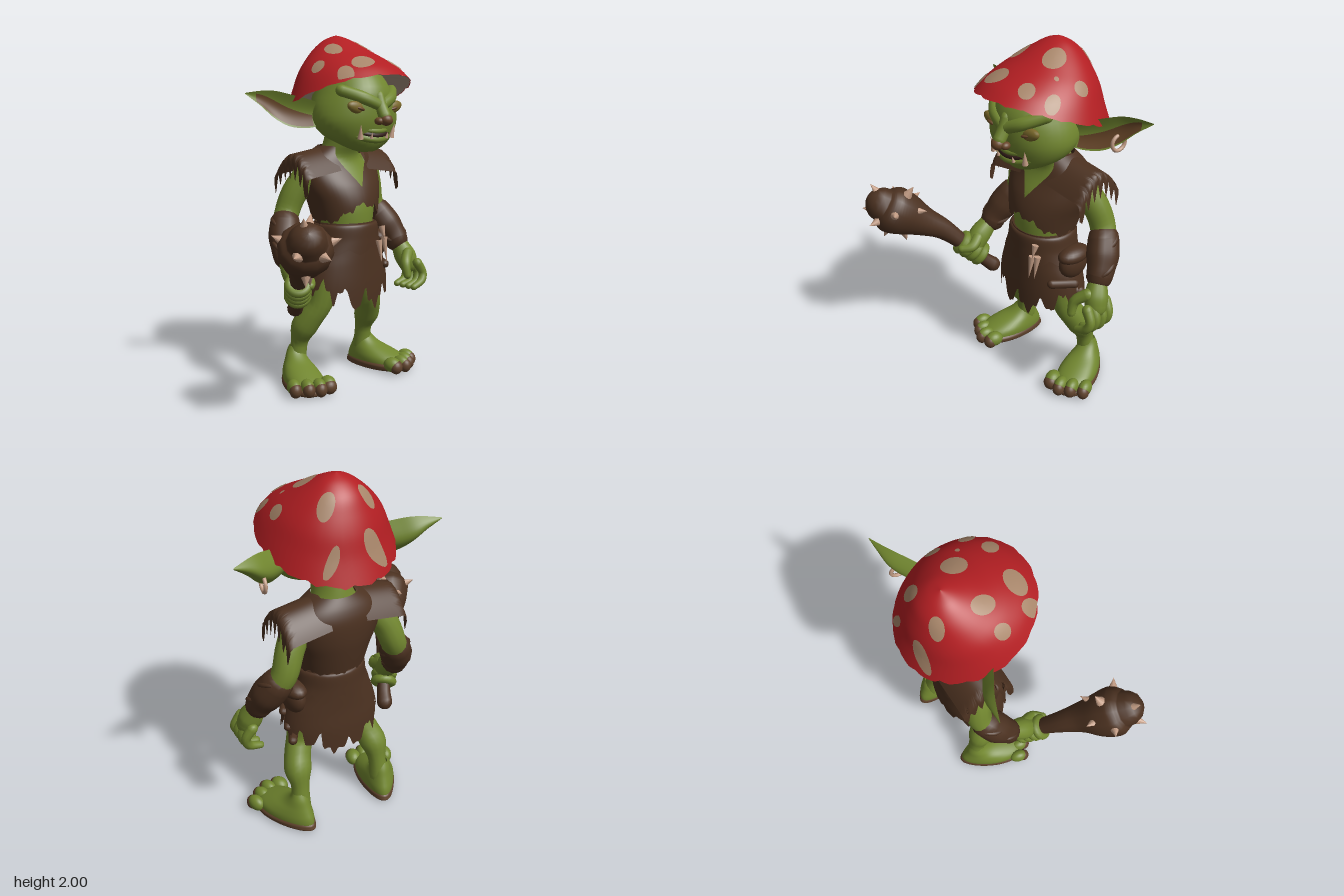
import * as THREE from 'three';

const CX = 0.14; // body centre line
const TAU = Math.PI * 2;
const mat = (name, color, double) => {
  const m = new THREE.MeshStandardMaterial({ color });
  m.name = name;
  if (double) m.side = THREE.DoubleSide;
  return m;
};
const { abs, min, max, sin, cos, floor, sqrt, PI } = Math;
const lerp = THREE.MathUtils.lerp;

// Smooth interpolation through rows of numbers, t from 0 to 1
const spline = rows => t => {
  const n = rows.length, s = t * (n - 1), i = min(floor(s), n - 2), f = s - i;
  const p = k => rows[max(0, min(n - 1, i + k))];
  return rows[0].map((_, c) => {
    const a = p(-1)[c], b = p(0)[c], d = p(1)[c], e = p(2)[c];
    return b + 0.5 * f * (d - a + f * (2 * a - 5 * b + 4 * d - e + f * (3 * (b - d) + e - a)));
  });
};

// Surface from f(u, v); closed wraps u around
function grid(nu, nv, f, closed = true) {
  const pos = [], idx = [], w = closed ? nu : nu + 1;
  for (let j = 0; j <= nv; j++) for (let i = 0; i < w; i++) pos.push(...f(i / nu, j / nv));
  for (let j = 0; j < nv; j++) for (let i = 0; i < nu; i++) {
    const a = j * w + i, b = j * w + (i + 1) % w, c = a + w, d = b + w;
    idx.push(a, c, b, b, c, d);
  }
  const g = new THREE.BufferGeometry();
  g.setAttribute('position', new THREE.Float32BufferAttribute(pos, 3));
  g.setIndex(idx);
  g.computeVertexNormals();
  return g;
}

// Elliptical rings: rows of [yFront, yBack, zFront, zBack, radiusX]
const ringPoint = (r, a, cx) => [cx + r[4] * cos(a), (r[0] + r[1]) / 2 + (r[0] - r[1]) / 2 * sin(a),
  (r[2] + r[3]) / 2 + (r[2] - r[3]) / 2 * sin(a)];
function loft(rows, { nu = 40, nv = 24, cx = CX, lo = () => 0, hi = () => 1 } = {}) {
  const at = spline(rows);
  return grid(nu, nv, (u, v) => ringPoint(at(lerp(lo(u * TAU), hi(u * TAU), v)), u * TAU, cx));
}
const level = rows => rows.map(([y, ...r]) => [y, y, ...r]);

// Round-ended tube through points [x, y, z, radius]
function limb(pts, sides = 14, steps = 18) {
  const at = spline(pts), cap = 4, n = steps + 2 * cap;
  const V = a => new THREE.Vector3(a[0], a[1], a[2]);
  const chord = V(pts[pts.length - 1]).sub(V(pts[0])).toArray().map(abs);
  const ref = new THREE.Vector3().setComponent(chord.indexOf(min(...chord)), 1);
  return grid(sides, n, (u, v) => {
    const k = v * n, t = max(0, min(1, (k - cap) / steps)), p = at(t);
    const T = V(at(min(1, t + 0.01))).sub(V(at(max(0, t - 0.01)))).normalize();
    const N = ref.clone().addScaledVector(T, -ref.dot(T)).normalize(), B = N.clone().cross(T);
    const e = k < cap ? k / cap - 1 : k > n - cap ? (k - n + cap) / cap : 0;
    const r = p[3] * cos(e * PI / 2), a = u * TAU;
    return V(p).addScaledVector(T, p[3] * sin(e * PI / 2))
      .addScaledVector(N, r * cos(a)).addScaledVector(B, r * sin(a)).toArray();
  });
}
const ball = (x, y, z, rx, ry, rz, tilt = 0) =>
  new THREE.SphereGeometry(1, 20, 14).scale(rx, ry, rz).rotateZ(tilt).translate(x, y, z);
function cone(from, to, r) {
  const a = new THREE.Vector3(...from), d = new THREE.Vector3(...to).sub(a), h = d.length();
  return new THREE.ConeGeometry(r, h, 10).translate(0, h / 2, 0)
    .applyQuaternion(new THREE.Quaternion().setFromUnitVectors(new THREE.Vector3(0, 1, 0), d.normalize()))
    .translate(...a.toArray());
}
function mirror(geo) {
  const g = geo.clone().scale(-1, 1, 1).translate(2 * CX, 0, 0), ix = g.index.array;
  for (let i = 0; i < ix.length; i += 3) [ix[i], ix[i + 1]] = [ix[i + 1], ix[i]];
  return g;
}
// Torn cloth edge: teeth of seeded height around an angle
const torn = (a, n, seed) => {
  const k = floor(a / TAU * n), f = a / TAU * n - k, h = sin(k * 12.99 + seed) * 43758.5;
  return abs(2 * f - 1) * (0.4 + 0.6 * (h - floor(h)));
};

export function createModel() {
  const skin = mat('green skin', 0x71862f, true), red = mat('cap red', 0xb21e22, true);
  const spot = mat('spot beige', 0xa8866a), leather = mat('brown leather', 0x4b3120, true);
  const bone = mat('bone', 0xc29c84), warm = mat('warm brown', 0x684628, true);
  const gold = mat('eye gold', 0x7a682a), gill = mat('gill beige', 0xb29c88, true);
  const dark = mat('mouth dark', 0x35201a), sole = mat('sole brown', 0x5f422c);
  const root = new THREE.Group();
  const add = (name, geo, m) => {
    const mesh = new THREE.Mesh(geo, m);
    mesh.name = name;
    root.add(mesh);
  };
  const both = (name, geo, m) => { add(name + 'Left', geo, m); add(name + 'Right', mirror(geo), m); };

  // Mushroom cap with torn brim, gills and spots
  const capRows = [[1.77, 1.51, 0.215, -0.515, 0.352], [1.82, 1.64, 0.15, -0.472, 0.312],
    [1.865, 1.75, 0.06, -0.445, 0.265], [1.905, 1.84, -0.03, -0.412, 0.205],
    [1.95, 1.915, -0.12, -0.375, 0.135], [1.985, 1.968, -0.2, -0.32, 0.07], [2, 2, -0.255, -0.256, 0.001]];
  const brim = a => 0.04 * torn(a, 17, 3) + 0.02 * torn(a, 31, 4);
  const capAt = spline(capRows);
  add('cap', loft(capRows, { nu: 96, nv: 30, lo: brim }), red);
  add('gills', grid(96, 8, (u, v) => {
    const a = -u * TAU, p = ringPoint(capAt(brim(a < 0 ? a + TAU : 0)), a, CX), w = lerp(0.01, 1, v);
    return [lerp(p[0], CX, w), lerp(p[1], 1.67, w) + 0.05 * sin(w * PI), lerp(p[2], -0.15, w)];
  }), gill);
  const onCap = (x, z) => {
    const e = t => {
      const r = capAt(t);
      return sqrt(((x - CX) / r[4]) ** 2 + ((z - (r[2] + r[3]) / 2) / ((r[2] - r[3]) / 2)) ** 2);
    };
    const s = min(1, 0.96 / e(0));
    x = CX + (x - CX) * s;
    z = -0.15 + (z + 0.15) * s;
    let a = 0, b = 1;
    for (let i = 0; i < 24; i++) { const m = (a + b) / 2; if (e(m) < 1) a = m; else b = m; }
    const r = capAt(a);
    const y = (r[0] + r[1]) / 2 + (r[0] - r[1]) / (r[2] - r[3]) * (z - (r[2] + r[3]) / 2);
    return [CX + (x - CX) * 1.014, 1.7 + (y - 1.7) * 1.014, -0.2 + (z + 0.2) * 1.014];
  };
  [[0.04, -0.45, 0.066, 0.022], [0.275, -0.445, 0.045, 0.015], [0.035, -0.35, 0.042, 0.034], [0.25, -0.352, 0.045, 0.034],
    [-0.115, -0.1, 0.03, 0.042], [0.008, -0.12, 0.042, 0.06], [0.235, -0.125, 0.055, 0.065],
    [0.4, -0.145, 0.026, 0.042], [0.32, -0.055, 0.012, 0.012], [0.045, 0.08, 0.07, 0.052],
    [0.265, 0.09, 0.042, 0.042], [0.385, 0.035, 0.03, 0.045], [-0.08, 0.085, 0.04, 0.05]]
    .forEach(([x, z, rx, rz]) => add('capSpot', grid(24, 5, (u, v) =>
      onCap(x + rx * (1 - v) * cos(u * TAU), z + rz * (1 - v) * sin(u * TAU))), spot));

  // Head and face
  add('head', loft(level([[1.352, 0.005, -0.005, 0.004], [1.358, 0.045, -0.05, 0.065], [1.4, 0.08, -0.14, 0.155],
    [1.45, 0.1, -0.24, 0.22], [1.52, 0.12, -0.31, 0.255], [1.6, 0.125, -0.34, 0.245], [1.68, 0.12, -0.35, 0.21],
    [1.76, 0.075, -0.33, 0.17], [1.83, 0, -0.28, 0.11], [1.85, -0.13, -0.15, 0.005]])), skin);
  both('eyeSocket', ball(CX + 0.13, 1.598, 0.076, 0.07, 0.034, 0.026, 0.25), gold);
  both('eye', ball(CX + 0.122, 1.592, 0.092, 0.032, 0.01, 0.018, 0.25), warm);
  both('brow', limb([[CX + 0.015, 1.612, 0.115, 0.034], [CX + 0.1, 1.65, 0.086, 0.036], [CX + 0.185, 1.69, 0.008, 0.032]]), skin);
  add('noseBridge', limb([[CX, 1.66, 0.105, 0.03], [CX, 1.6, 0.125, 0.034], [CX, 1.55, 0.155, 0.034]]), skin);
  add('noseTip', ball(CX, 1.532, 0.165, 0.036, 0.032, 0.036), warm);
  both('nostril', ball(CX + 0.034, 1.526, 0.145, 0.024, 0.021, 0.028), warm);
  const arc = (w, y, z, lift, r) => [-1, -0.5, 0, 0.5, 1].map(k => [CX + w * k, y + lift * k * k, z - 0.045 * k * k, r]);
  add('mouth', limb(arc(0.115, 1.447, 0.1, 0.022, 0.015)), dark);
  add('upperLip', limb(arc(0.115, 1.47, 0.1, 0.02, 0.016)), skin);
  add('lowerLip', limb(arc(0.115, 1.423, 0.096, 0.022, 0.02)), skin);
  both('fang', cone([CX + 0.115, 1.43, 0.085], [CX + 0.125, 1.51, 0.1], 0.017), bone);
  both('smallTooth', cone([CX + 0.055, 1.432, 0.108], [CX + 0.057, 1.465, 0.12], 0.01), bone);

  // Swept-back ears and one earring
  const earAt = spline([[0.35, 1.62, 1.5, -0.13], [0.42, 1.645, 1.485, -0.17], [0.5, 1.67, 1.495, -0.22],
    [0.57, 1.688, 1.54, -0.265], [0.64, 1.688, 1.61, -0.3], [0.715, 1.677, 1.67, -0.33]]);
  const ear = (t, w, bulge, shift) => {
    const [x, top, low, z] = earAt(t);
    return [x, lerp(low, top, w), z + shift - bulge * (top - low) * sin(PI * w)];
  };
  both('earBack', grid(12, 24, (u, v) => ear(v, 1 - u, 0.38, 0), false), skin);
  both('earFront', grid(12, 24, (u, v) => ear(v, u, 0.15, 0), false), skin);
  both('earInner', grid(12, 20, (u, v) =>
    ear(0.12 + 0.73 * v, 0.06 + u * (0.4 + 0.32 * v), 0.15, 0.006), false), warm);
  add('earring', new THREE.TorusGeometry(0.042, 0.01, 8, 24).rotateY(PI / 2 - 0.15).translate(0.55, 1.535, -0.28), bone);

  // Torso, torn vest and shoulder flaps
  add('torso', loft(level([[0.8, -0.03, -0.33, 0.16], [0.95, -0.02, -0.34, 0.165], [1.05, -0.025, -0.36, 0.19],
    [1.15, -0.055, -0.375, 0.215], [1.25, -0.115, -0.37, 0.21], [1.32, -0.13, -0.34, 0.13], [1.4, -0.09, -0.32, 0.1],
    [1.48, -0.08, -0.3, 0.09]])), skin);
  add('vest', loft(level([[0.93, 0, -0.36, 0.185], [1.05, 0, -0.385, 0.215], [1.15, -0.028, -0.4, 0.25],
    [1.25, -0.085, -0.4, 0.265], [1.32, -0.11, -0.38, 0.22], [1.38, -0.13, -0.345, 0.125]]), {
    nu: 128, lo: a => 0.02 + 0.06 * torn(a, 11, 1) + 0.04 * torn(a, 27, 6) + 0.14 * max(0, sin(a)) ** 3,
    hi: a => min(1, 0.4 + 0.8 * abs(a - PI / 2)) }), leather);
  both('shoulderFlap', grid(48, 14, (u, v) => {
    const s = 2 * u - 1, w = v * (1 - 0.25 * torn(u * TAU, 7, 5));
    return [0.24 + 0.225 * min(1, 1.4 * w) + 0.02 * w, 1.375 - 0.05 * w - 0.13 * s * s - 0.4 * max(0, w - 0.68),
      -0.245 + 0.155 * s];
  }, false), leather);

  // Skirt, belt, pouch and trinkets
  add('skirt', loft(level([[0.43, 0.01, -0.37, 0.29], [0.58, 0.01, -0.37, 0.285], [0.7, 0.005, -0.36, 0.26],
    [0.8, 0, -0.355, 0.22], [0.95, -0.01, -0.345, 0.18]]), {
    nu: 168, lo: a => 0.01 + 0.16 * cos(a) ** 2 + 0.2 * torn(a, 12, 2) + 0.1 * torn(a, 31, 8) }), leather);
  add('belt', loft(level([[0.77, 0.01, -0.365, 0.238], [0.85, 0.008, -0.362, 0.206], [0.93, 0.003, -0.357, 0.193],
    [0.945, -0.02, -0.335, 0.165]]), { nu: 72, lo: a => 0.25 * torn(a, 9, 7) }), leather);
  add('pouch', ball(0.365, 0.78, -0.19, 0.06, 0.095, 0.1), leather);
  add('pouchFlap', ball(0.365, 0.83, -0.19, 0.066, 0.05, 0.105), leather);
  [[0.24, 0.71, 0.13], [0.28, 0.715, 0.14], [0.262, 0.84, 0.08]].forEach(([x, y, h]) =>
    add('hangingTooth', cone([x, y + h, 0.005], [x, y, 0.03], 0.02), bone));
  [0.68, 0.61, 0.55].forEach((y, i) => add('beltRoll',
    limb([[0.34, y, -0.05 - 0.05 * i, 0.025], [0.41, y - 0.01, -0.16 - 0.05 * i, 0.025]], 10, 4), leather));

  // Arms and bracers
  both('arm', limb([[0.34, 1.25, -0.23, 0.08], [0.42, 1.13, -0.28, 0.075], [0.47, 1, -0.3, 0.07],
    [0.53, 0.88, -0.24, 0.07], [0.57, 0.77, -0.175, 0.052]]), skin);
  both('bracer', limb([[0.497, 0.95, -0.278, 0.085], [0.53, 0.88, -0.24, 0.09], [0.555, 0.82, -0.203, 0.077],
    [0.562, 0.785, -0.185, 0.073]]), leather);
  [[0.505, 0.935, -0.268], [0.552, 0.825, -0.205]].forEach((p, i) => both('bracerStrap',
    new THREE.TorusGeometry(0.08 - 0.006 * i, 0.013, 8, 24).rotateX(PI / 2 + 0.45).rotateZ(0.35).translate(...p), leather));

  // Open left hand
  add('leftPalm', limb([[0.57, 0.76, -0.165, 0.05], [0.59, 0.69, -0.135, 0.066], [0.605, 0.64, -0.12, 0.06]]), skin);
  [-0.19, -0.14, -0.09, -0.045].forEach((z, i) => add('leftFinger', limb([[0.61, 0.65, z, 0.03],
    [0.645, 0.59, z + 0.01, 0.026], [0.625, 0.525 + 0.008 * abs(i - 1), z + 0.02, 0.025], [0.56, 0.51, z + 0.02, 0.02]], 10), skin));
  add('leftThumb', limb([[0.57, 0.71, -0.09, 0.035], [0.515, 0.66, -0.05, 0.03], [0.51, 0.59, -0.03, 0.023]], 10), skin);

  // Spiked club and the gripping hand
  add('club', limb([[-0.25, 0.49, -0.15, 0.045], [-0.28, 0.55, -0.09, 0.038], [-0.34, 0.66, 0, 0.045],
    [-0.41, 0.77, 0.1, 0.062], [-0.465, 0.835, 0.195, 0.088], [-0.52, 0.89, 0.275, 0.126], [-0.555, 0.928, 0.335, 0.14],
    [-0.575, 0.955, 0.37, 0.128], [-0.588, 0.972, 0.39, 0.1]], 12, 30), leather);
  [[-0.715, 0.92, 0.45], [-0.545, 0.9, 0.52], [-0.46, 1.09, 0.26], [-0.64, 1.1, 0.43], [-0.385, 0.95, 0.23],
    [-0.6, 0.755, 0.39], [-0.5, 0.735, 0.3], [-0.69, 1, 0.24], [-0.41, 0.98, 0.44], [-0.55, 0.98, 0.15]]
    .forEach(tip => add('clubSpike', cone([-0.55, 0.92, 0.33].map((c, i) => lerp(c, tip[i], 0.5)), tip, 0.042), bone));
  const axis = new THREE.Vector3(-0.45, 0.62, 0.62).normalize();
  const grip = new THREE.Quaternion().setFromUnitVectors(new THREE.Vector3(0, 0, 1), axis);
  add('rightPalm', limb([[-0.29, 0.77, -0.165, 0.05], [-0.3, 0.71, -0.1, 0.064], [-0.305, 0.65, -0.05, 0.06]]), skin);
  for (let i = 0; i < 4; i++) {
    const p = new THREE.Vector3(-0.325, 0.635, -0.025).addScaledVector(axis, (i - 1.9) * 0.045);
    add('rightFinger', new THREE.TorusGeometry(0.05, 0.026, 10, 24).applyQuaternion(grip).translate(p.x, p.y, p.z), skin);
  }
  add('rightThumb', limb([[-0.28, 0.71, -0.06, 0.034], [-0.265, 0.67, 0, 0.03], [-0.3, 0.66, 0.05, 0.024]], 10), skin);

  // Legs and bare feet
  both('leg', limb([[0.28, 0.68, -0.18, 0.11], [0.322, 0.5, -0.18, 0.077], [0.36, 0.41, -0.215, 0.073],
    [0.385, 0.33, -0.262, 0.075], [0.39, 0.24, -0.295, 0.05], [0.398, 0.12, -0.31, 0.058]]), skin);
  const splay = g => g.rotateY(0.3).translate(0.44, 0, -0.21);
  const widen = g => {
    const p = g.attributes.position;
    for (let i = 0; i < p.count; i++) p.setX(i, p.getX(i) * (1.04 + 1.2 * p.getZ(i)));
    g.computeVertexNormals();
    return splay(g);
  };
  both('foot', widen(loft(level([[0.02, 0.2, -0.2, 0.09], [0.04, 0.2, -0.21, 0.1], [0.075, 0.17, -0.205, 0.1],
    [0.11, 0.09, -0.19, 0.088], [0.145, 0, -0.175, 0.07], [0.185, -0.055, -0.16, 0.055], [0.22, -0.075, -0.14, 0.04]]),
    { cx: 0 })), skin);
  both('sole', widen(loft(level([[0.002, 0.005, -0.005, 0.003], [0.002, 0.19, -0.2, 0.09], [0.03, 0.215, -0.218, 0.107],
    [0.05, 0.19, -0.2, 0.098]]), { cx: 0 })), sole);
  [-0.098, -0.035, 0.03, 0.1].forEach((x, i) => {
    const z = 0.185 - 0.025 * abs(i - 1.2), r = i === 0 ? 0.044 : 0.037;
    both('toe', splay(ball(x, 0.055, z, r, 0.045, 0.055)), skin);
    both('toenail', splay(ball(x, 0.044, z + 0.028, r * 0.95, 0.042, 0.038)), sole);
  });
  return root;
}
